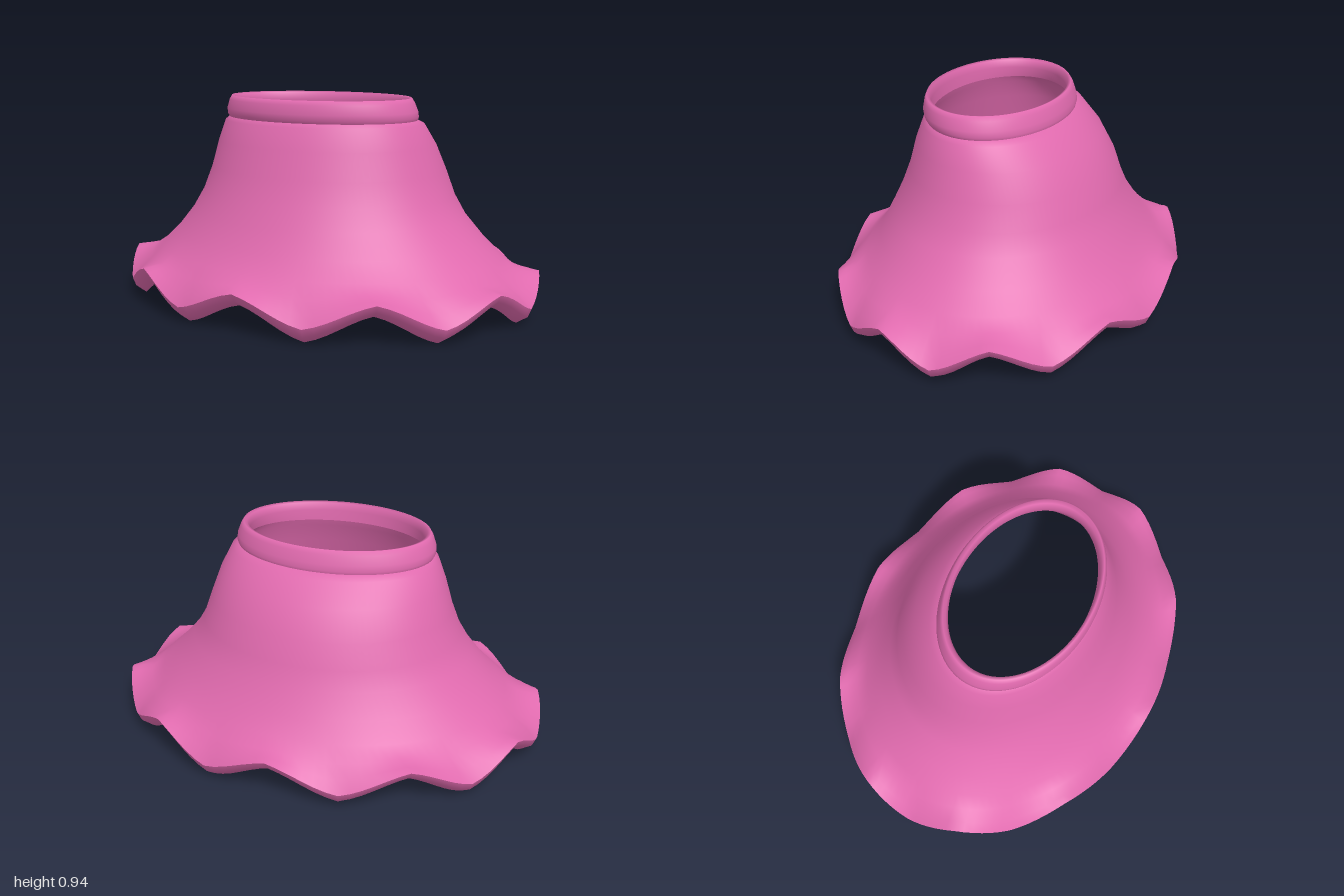
import * as THREE from 'three';

const SEGMENTS = 120;
const LOBES = 10;

// Pointed scallop wave, between a cosine and a zigzag
function scallop(t) {
  const c = Math.cos(LOBES * t);
  return 0.45 * c + 0.55 * (2 / Math.PI) * Math.asin(Math.max(-1, Math.min(1, c)));
}

// Joins oval rings [height, half width, front z, back z, scallop amplitude]
function loft(name, rings, material) {
  const positions = [], index = [];
  for (const [y, rx, front, back, wave = 0] of rings) {
    const centre = (front + back) / 2, rz = (front - back) / 2;
    for (let j = 0; j < SEGMENTS; j++) {
      const t = (j / SEGMENTS) * Math.PI * 2;
      positions.push(rx * Math.sin(t), y + wave * scallop(t), centre + rz * Math.cos(t));
    }
  }
  for (let i = 0; i < rings.length - 1; i++) {
    for (let j = 0; j < SEGMENTS; j++) {
      const k = (j + 1) % SEGMENTS;
      const a = i * SEGMENTS + j, d = i * SEGMENTS + k;
      const b = a + SEGMENTS, c = d + SEGMENTS;
      index.push(a, b, c, a, c, d);
    }
  }
  const geometry = new THREE.BufferGeometry();
  geometry.setAttribute('position', new THREE.Float32BufferAttribute(positions, 3));
  geometry.setIndex(index);
  geometry.computeVertexNormals();
  const mesh = new THREE.Mesh(geometry, material);
  mesh.name = name;
  return mesh;
}

export function createModel() {
  const pink = new THREE.MeshStandardMaterial({ color: 0xe06aae, side: THREE.DoubleSide });
  pink.name = 'pink fabric';

  const group = new THREE.Group();
  group.name = 'skirt';

  // Rounded waistband, from its inner edge over the top to the seam
  group.add(loft('waistband', [
    [0.85, 0.425, 0.35, -0.23],
    [0.9, 0.41, 0.355, -0.22],
    [0.935, 0.42, 0.36, -0.225],
    [0.94, 0.437, 0.372, -0.238],
    [0.92, 0.45, 0.38, -0.25],
    [0.88, 0.465, 0.386, -0.263],
    [0.855, 0.466, 0.38, -0.268],
    [0.842, 0.46, 0.372, -0.265],
  ], pink));

  // Flaring outer cloth, ending on the turned-out scalloped lip
  group.add(loft('outerSkirt', [
    [0.842, 0.46, 0.372, -0.265],
    [0.825, 0.485, 0.388, -0.305],
    [0.73, 0.527, 0.425, -0.39],
    [0.61, 0.567, 0.458, -0.458],
    [0.5, 0.608, 0.5, -0.495],
    [0.41, 0.662, 0.542, -0.532],
    [0.31, 0.75, 0.59, -0.59],
    [0.235, 0.83, 0.65, -0.645],
    [0.185, 0.89, 0.7, -0.695, 0.01],
    [0.155, 0.955, 0.742, -0.74, 0.033],
    [0.125, 1, 0.772, -0.772, 0.055],
  ], pink));

  // Hem turning under the lip
  group.add(loft('hem', [
    [0.125, 1, 0.772, -0.772, 0.055],
    [0.09, 0.985, 0.755, -0.755, 0.058],
    [0.06, 0.935, 0.715, -0.715, 0.06],
    [0.085, 0.9, 0.69, -0.69, 0.055],
  ], pink));

  // Inner face of the cloth
  group.add(loft('lining', [
    [0.085, 0.9, 0.69, -0.69, 0.055],
    [0.15, 0.87, 0.67, -0.665, 0.02],
    [0.22, 0.805, 0.62, -0.62],
    [0.3, 0.725, 0.565, -0.565],
    [0.41, 0.635, 0.515, -0.505],
    [0.5, 0.58, 0.472, -0.467],
    [0.61, 0.54, 0.43, -0.43],
    [0.73, 0.5, 0.398, -0.36],
    [0.82, 0.45, 0.36, -0.27],
    [0.85, 0.425, 0.35, -0.23],
  ], pink));

  return group;
}
